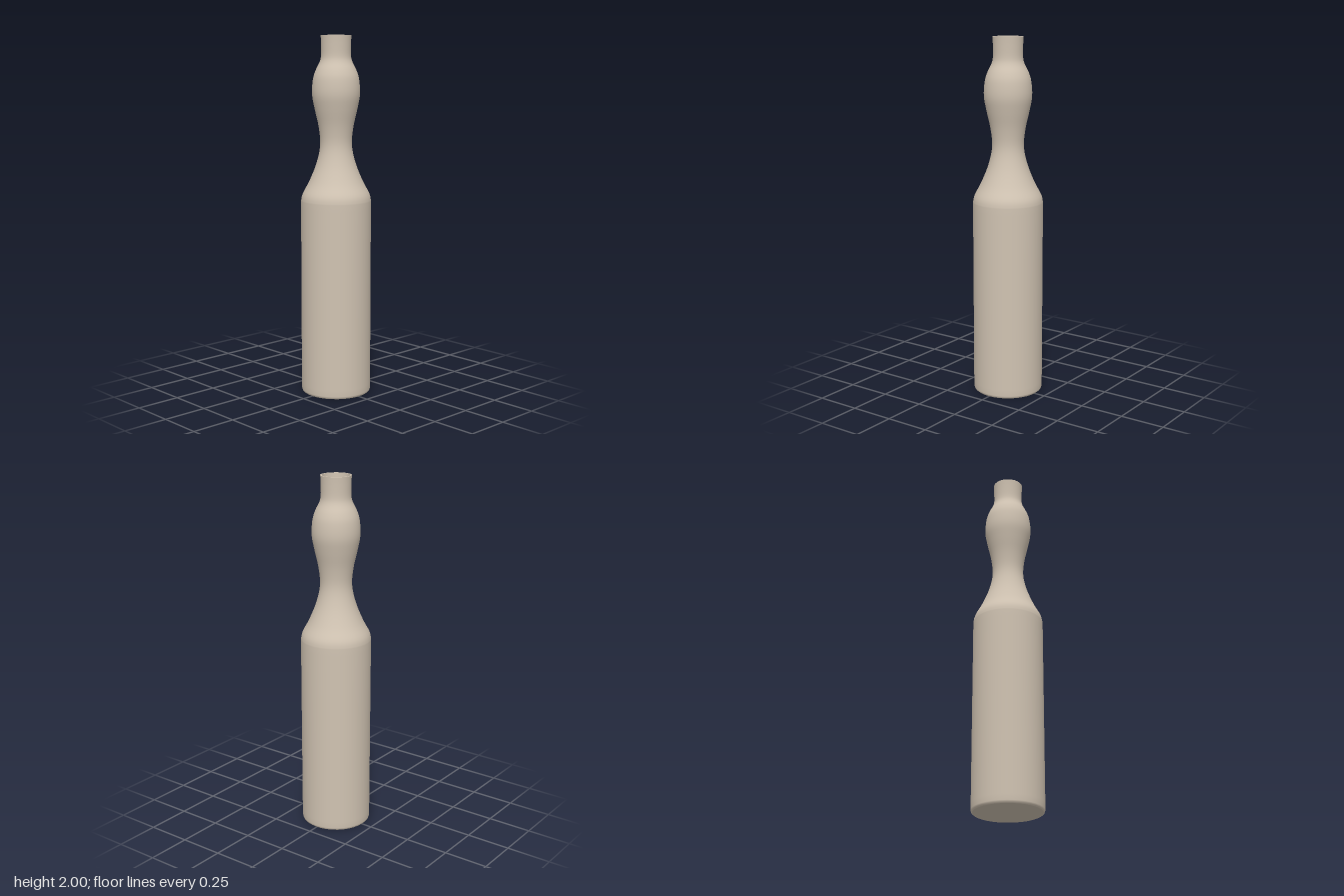
import * as THREE from 'three';

const SIDES = 36;
const WALL = 0.007;

// Turn a list of [radius, height] points into a lathed mesh
function turned(name, points, material) {
  const profile = points.map(([r, y]) => new THREE.Vector2(r, y));
  const mesh = new THREE.Mesh(new THREE.LatheGeometry(profile, SIDES), material);
  mesh.name = name;
  return mesh;
}

export function createModel() {
  const group = new THREE.Group();
  group.name = 'bottle';
  const clay = new THREE.MeshStandardMaterial({ color: 0xd0c3b2 });
  clay.name = 'warm beige';

  // Shoulder, waist, bulb and mouth as one flowing curve
  const neck = new THREE.SplineCurve([
    [0.195, 1.09], [0.186, 1.13], [0.149, 1.2], [0.109, 1.3], [0.088, 1.4],
    [0.096, 1.5], [0.118, 1.6], [0.132, 1.68], [0.127, 1.76], [0.112, 1.81],
    [0.09, 1.855], [0.082, 1.89], [0.082, 1.95], [0.084, 2],
  ].map(([r, y]) => new THREE.Vector2(r, y))).getPoints(52).map((p) => [p.x, p.y]);

  // Outer wall with a softly rounded foot
  const outer = [[0.186, 0.001], [0.192, 0.006], [0.195, 0.016], [0.195, 0.05], [0.195, 1.05], ...neck];
  group.add(turned('outerWall', outer, clay));

  // Underside
  group.add(turned('base', [[0, 0], [0.18, 0], [0.186, 0.001]], clay));

  // Rim of the mouth
  group.add(turned('rim', [[0.084, 2], [0.084 - WALL, 2]], clay));

  // Hollow inside, following the outer wall
  const inner = [[0.195, 0.02], [0.195, 1.05], ...neck].reverse().map(([r, y]) => [r - WALL, y]);
  group.add(turned('innerWall', inner, clay));
  group.add(turned('innerFloor', [[0.195 - WALL, 0.02], [0, 0.02]], clay));

  return group;
}
